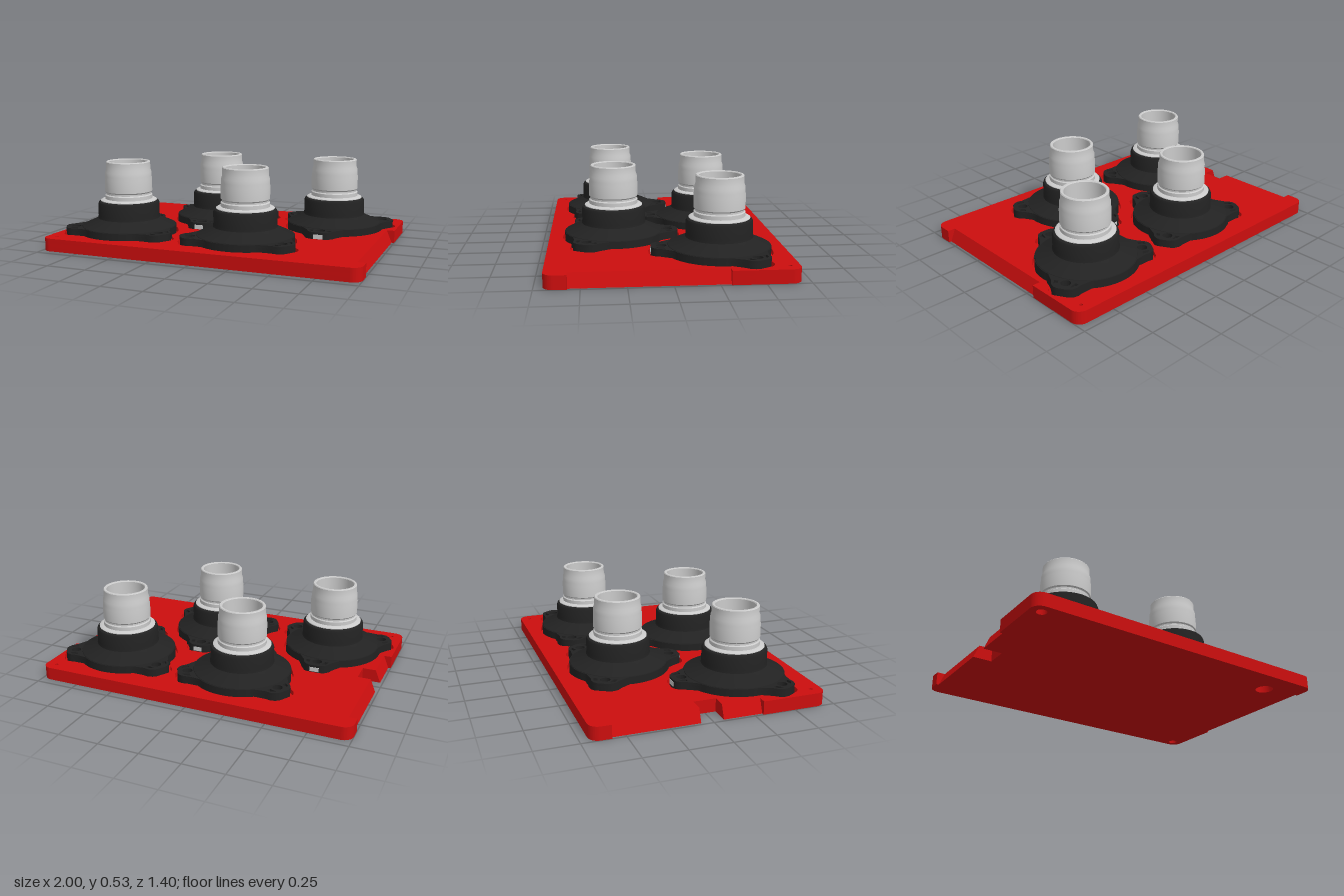
import * as THREE from 'three';
import { toCreasedNormals } from 'three/addons/utils/BufferGeometryUtils.js';

const V = (x, y) => new THREE.Vector2(x, y);
const material = (color) => new THREE.MeshStandardMaterial({ color });
const TOP = 0.08, FLOOR = 0.05;
const EDGE = 0.951; // top of the slanted side recesses
const CONNECTORS = [[-0.6, 0.3, 0], [0.2, 0.3, 0], [-0.2, -0.3, Math.PI], [0.6, -0.3, Math.PI]];
const TABS = [-Math.PI / 2, Math.PI / 6, Math.PI * 5 / 6];

// Extrudes an (x, z) outline between two heights
function slab(shape, y0, y1) {
  return new THREE.ExtrudeGeometry(shape, { depth: y1 - y0, bevelEnabled: false, curveSegments: 16 })
    .rotateX(Math.PI / 2).translate(0, y1, 0);
}

function mesh(name, geometry, mat) {
  const m = new THREE.Mesh(toCreasedNormals(geometry, 0.5), mat);
  m.name = name;
  return m;
}

function circle(x, z, r) {
  return new THREE.Path().absarc(x, z, r, 0, Math.PI * 2, true);
}

// A point given along (r) and across (s) a direction
function polar(angle, r, s) {
  return V(r * Math.cos(angle) - s * Math.sin(angle), r * Math.sin(angle) + s * Math.cos(angle));
}

// Round flange with three screw tabs, grown by an offset
function flangePoints(grow) {
  const points = [], R = 0.303 + grow, half = 0.44;
  for (const a of TABS) {
    const side = [[0.335, 0.086], [0.365, 0.076], [0.388, 0.055], [0.398, 0.03]];
    for (const [r, s] of side) points.push(polar(a, r + grow, -s - grow));
    for (const [r, s] of side.reverse()) points.push(polar(a, r + grow, s + grow));
    const start = a + half, span = Math.PI * 2 / 3 - 2 * half;
    for (let i = 0; i <= 14; i++) points.push(polar(start + span * i / 14, R, 0));
  }
  return points;
}

function plateOutline() {
  const s = new THREE.Shape(), q = Math.PI / 2;
  const lines = (list) => list.forEach(([x, z]) => s.lineTo(x, z));
  s.moveTo(-0.94, -0.7);
  s.absarc(0.94, -0.64, 0.06, -q, 0, false);
  lines([[1, -0.31], [EDGE, -0.31], [EDGE, 0.57], [1, 0.57]]);
  s.absarc(0.94, 0.64, 0.06, 0, q, false);
  s.absarc(-0.94, 0.64, 0.06, q, 2 * q, false);
  lines([[-1, 0.3], [-EDGE, 0.3], [-EDGE, 0.065], [-0.87, 0.065],
    [-0.87, -0.07], [-EDGE, -0.07], [-EDGE, -0.58], [-1, -0.58]]);
  s.absarc(-0.94, -0.64, 0.06, 2 * q, 3 * q, false);
  return s;
}

// Slants the recessed side walls outwards towards the bottom
function slantEdges(geometry) {
  const p = geometry.attributes.position;
  for (let i = 0; i < p.count; i++) {
    const x = p.getX(i);
    if (Math.abs(Math.abs(x) - EDGE) < 1e-5) {
      const inRecess = x > 0 ? p.getZ(i) > -0.32 : p.getZ(i) < 0.31;
      if (inRecess) p.setX(i, x + Math.sign(x) * 0.033 * (1 - p.getY(i) / TOP));
    }
  }
  return geometry;
}

function basePlate() {
  const group = new THREE.Group(), red = material(0xcc0e0e);
  group.name = 'basePlate';
  const lower = plateOutline(), upper = plateOutline();
  // pin holes, countersunk from below
  for (const [x, z] of [[0.93, -0.64], [-0.93, 0.635]]) {
    lower.holes.push(circle(x, z, 0.03));
    upper.holes.push(circle(x, z, 0.011));
  }
  // blind pocket in the underside
  lower.holes.push(circle(0.75, 0.525, 0.055));
  // shallow seats for the connectors
  for (const [x, z, turn] of CONNECTORS) {
    const pts = flangePoints(0.013).map((p) => p.rotateAround(V(0, 0), turn).add(V(x, z)));
    upper.holes.push(new THREE.Path(pts));
  }
  group.add(mesh('plateBottom', slantEdges(slab(lower, 0, FLOOR)), red));
  group.add(mesh('plateTop', slantEdges(slab(upper, FLOOR, TOP)), red));
  return group;
}

function lathe(name, profile, mat) {
  return mesh(name, new THREE.LatheGeometry(profile.map(([r, y]) => V(r, y)), 48), mat);
}

function connector(black, silver) {
  const group = new THREE.Group();
  group.name = 'connector';

  // flange in two layers, the upper one with relief pockets in the tabs
  for (const [name, y0, y1, relief] of [['flange', FLOOR, 0.105, false], ['flangeTop', 0.105, 0.12, true]]) {
    const shape = new THREE.Shape(flangePoints(0));
    shape.holes.push(circle(0, 0, 0.108));
    for (const a of TABS) {
      const c = polar(a, 0.337, 0);
      shape.holes.push(circle(c.x, c.y, 0.03));
      if (!relief) continue;
      for (const s of [-1, 1]) {
        shape.holes.push(new THREE.Path([[0.325, 0.048], [0.325, 0.072], [0.358, 0.064], [0.372, 0.038]]
          .map(([r, t]) => polar(a, r, t * s))));
      }
    }
    group.add(mesh(name, slab(shape, y0, y1), black));
  }

  // conical skirt and round housing
  group.add(lathe('housing', [[0.3, 0.118], [0.298, 0.123], [0.215, 0.16], [0.198, 0.172], [0.195, 0.19],
    [0.195, 0.262], [0.19, 0.275], [0.178, 0.282], [0.12, 0.282]], black));

  // hollow metal barrel with collar, groove and stepped rim
  group.add(lathe('barrel', [[0.106, FLOOR], [0.178, 0.27], [0.178, 0.286], [0.168, 0.292], [0.15, 0.295],
    [0.15, 0.318], [0.143, 0.324], [0.143, 0.334], [0.15, 0.342], [0.15, 0.42], [0.147, 0.44],
    [0.147, 0.465], [0.14, 0.485], [0.14, 0.528], [0.136, 0.533], [0.124, 0.533], [0.12, 0.528],
    [0.12, 0.4], [0.112, 0.39], [0.106, 0.3], [0.106, FLOOR]], silver));

  // metal insert at the end of the single tab
  group.add(mesh('tabInsert', new THREE.BoxGeometry(0.06, 0.028, 0.02).translate(0, 0.092, -0.39), silver));
  return group;
}

export function createModel() {
  const model = new THREE.Group();
  model.name = 'connectorPanel';
  model.add(basePlate());
  const black = material(0x222222), silver = material(0xcccccc);
  for (const [x, z, turn] of CONNECTORS) {
    const c = connector(black, silver);
    c.position.set(x, 0, z);
    c.rotation.y = turn;
    model.add(c);
  }
  return model;
}
